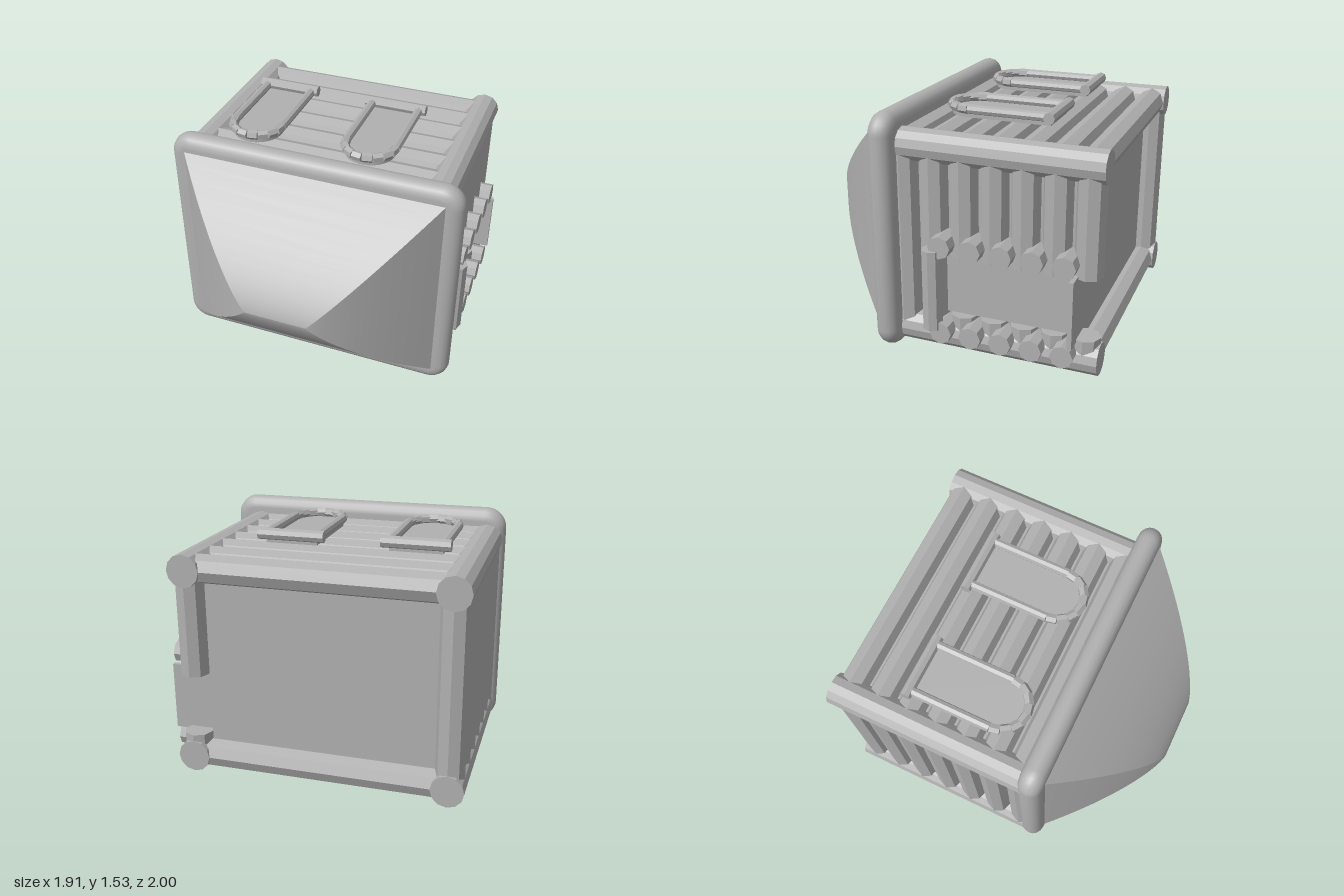
import * as THREE from 'three';
import { toCreasedNormals } from 'three/addons/utils/BufferGeometryUtils.js';

const grey = new THREE.MeshStandardMaterial({ color: 0xb0b0b0 });
grey.name = 'stone grey';

const CX = -0.04, CY = 0.73;      // centre of the log body
const HX = 0.8, HY = 0.6;         // half distance between corner logs
const LOG_R = 0.09, STEP = 0.194;

function add(parent, name, geo, crease = 0.4) {
  const mesh = new THREE.Mesh(toCreasedNormals(geo, crease), grey);
  mesh.name = name;
  parent.add(mesh);
  return mesh;
}

// Faceted log between two points
function log(parent, name, a, b, r, sides = 8) {
  const p = new THREE.Vector3(...a), q = new THREE.Vector3(...b);
  const d = q.clone().sub(p);
  const mesh = add(parent, name, new THREE.CylinderGeometry(r, r, d.length(), sides));
  mesh.position.copy(p).add(q).multiplyScalar(0.5);
  mesh.quaternion.setFromUnitVectors(new THREE.Vector3(0, 1, 0), d.normalize());
  return mesh;
}

// Axis-aligned box from its two extreme corners
function box(parent, name, a, b) {
  const geo = new THREE.BoxGeometry(b[0] - a[0], b[1] - a[1], b[2] - a[2]);
  const mesh = add(parent, name, geo);
  mesh.position.set((a[0] + b[0]) / 2, (a[1] + b[1]) / 2, (a[2] + b[2]) / 2);
  return mesh;
}

// Hipped roof with bowed slopes running from the short ridge to the rim
function roofGeometry() {
  const pos = [], idx = [], rows = 14;
  const corners = [[1, 1], [-1, 1], [-1, -1], [1, -1]];
  for (let s = 0; s < 4; s++) {
    const base = pos.length / 3;
    for (let i = 0; i <= rows; i++) {
      const u = (i / rows) ** 1.4;
      const z = 1 - 0.6 * u ** 1.35;
      for (const c of [corners[s], corners[(s + 1) % 4]]) {
        pos.push(c[0] * (0.2 + 0.67 * u), 0.767 + c[1] * 0.68 * u, z);
      }
      if (i < rows) {
        const a = base + i * 2;
        idx.push(a, a + 2, a + 3, a, a + 3, a + 1);
      }
    }
  }
  const geo = new THREE.BufferGeometry();
  geo.setAttribute('position', new THREE.Float32BufferAttribute(pos, 3));
  geo.setIndex(idx);
  geo.computeVertexNormals();
  return geo;
}

// Rounded slab under the roof
function rimGeometry() {
  const w = 0.88, h = 0.69, r = 0.06;
  const s = new THREE.Shape();
  s.moveTo(-w + r, -h);
  s.lineTo(w - r, -h);
  s.absarc(w - r, -h + r, r, -Math.PI / 2, 0);
  s.lineTo(w, h - r);
  s.absarc(w - r, h - r, r, 0, Math.PI / 2);
  s.lineTo(-w + r, h);
  s.absarc(-w + r, h - r, r, Math.PI / 2, Math.PI);
  s.lineTo(-w, -h + r);
  s.absarc(-w + r, -h + r, r, Math.PI, Math.PI * 1.5);
  return new THREE.ExtrudeGeometry(s, {
    depth: 0.006, bevelSize: 0.076, bevelThickness: 0.074, bevelSegments: 4, curveSegments: 4,
  });
}

// Arched window lying on the top wall
function archedWindow(parent, cx) {
  const g = new THREE.Group();
  g.name = 'archedWindow';
  const y = 1.475, zc = -0.01, zs = -0.545, R = 0.163;
  for (const s of [-1, 1]) {
    log(g, 'windowJamb', [cx + s * R, y, zs], [cx + s * R, y, zc], 0.03);
  }
  log(g, 'windowSill', [cx - 0.21, y + 0.002, zs], [cx + 0.21, y + 0.002, zs], 0.037);
  const n = 8;
  for (let i = 0; i < n; i++) {
    const a0 = (i / n) * Math.PI, a1 = ((i + 1) / n) * Math.PI;
    const at = a => [cx + R * Math.cos(a), y, zc + R * Math.sin(a)];
    log(g, 'archStone', at(a0), at(a1), 0.031, 6);
  }
  // Pane
  const p = new THREE.Shape();
  p.moveTo(-R, zs);
  p.lineTo(R, zs);
  p.lineTo(R, zc);
  p.absarc(0, zc, R, 0, Math.PI);
  const pane = add(g, 'windowPane', new THREE.ExtrudeGeometry(p, { depth: 0.03, bevelEnabled: false }));
  pane.rotation.x = Math.PI / 2;
  pane.position.set(cx, 1.452, 0);
  parent.add(g);
}

export function createModel() {
  const model = new THREE.Group();
  model.name = 'logHouse';
  const left = CX + HX, right = CX - HX, top = CY + HY, bottom = CY - HY;

  // Roof and rim
  const roof = new THREE.Mesh(roofGeometry(), grey);
  roof.name = 'roof';
  model.add(roof);
  add(model, 'roofRim', rimGeometry(), 0.55).position.set(0, 0.767, 0.344);

  // Solid core closing the gaps between the logs
  box(model, 'core', [right, bottom, -0.865], [left, top, 0.32]);

  // Corner logs
  for (const x of [left, right]) {
    for (const y of [top, bottom]) log(model, 'cornerLog', [x, y, -1], [x, y, 0.32], 0.102, 12);
  }

  // Wall logs on all four sides, interrupted by the doorway on the left wall
  const walls = new THREE.Group();
  walls.name = 'wallLogs';
  for (let k = -1; k < 6; k++) {
    const z = 0.063 - k * STEP;
    for (const y of [top, bottom]) log(walls, 'crossLog', [right, y, z], [left, y, z], LOG_R);
    log(walls, 'sideLog', [right, bottom, z], [right, top, z], LOG_R);
    if (z > 0) {
      log(walls, 'sideLog', [left, bottom, z], [left, top, z], LOG_R);
    } else {
      log(walls, 'upperDoorLog', [left, 0.66, z], [left, top, z], LOG_R);
      log(walls, 'lowerDoorLog', [left, bottom, z], [left, 0.27, z], LOG_R);
    }
  }
  model.add(walls);

  // Doorway: panel, jambs and rows of log ends
  const door = new THREE.Group();
  door.name = 'doorway';
  box(door, 'doorPanel', [left - 0.02, 0.27, -0.84], [left + 0.02, 0.66, 0]);
  box(door, 'backJamb', [left - 0.02, 0.25, -0.865], [0.935, 0.68, -0.837]);
  log(door, 'frontJamb', [0.885, 0.2, 0.035], [0.885, 0.725, 0.035], 0.065);
  for (let k = 0; k < 5; k++) {
    const z = -0.025 - k * STEP;
    for (const y of [0.752, 0.181]) log(door, 'logEnd', [left, y, z], [0.92, y, z], 0.072);
  }
  model.add(door);

  // Windows
  archedWindow(model, -0.53);
  archedWindow(model, 0.245);

  return model;
}
